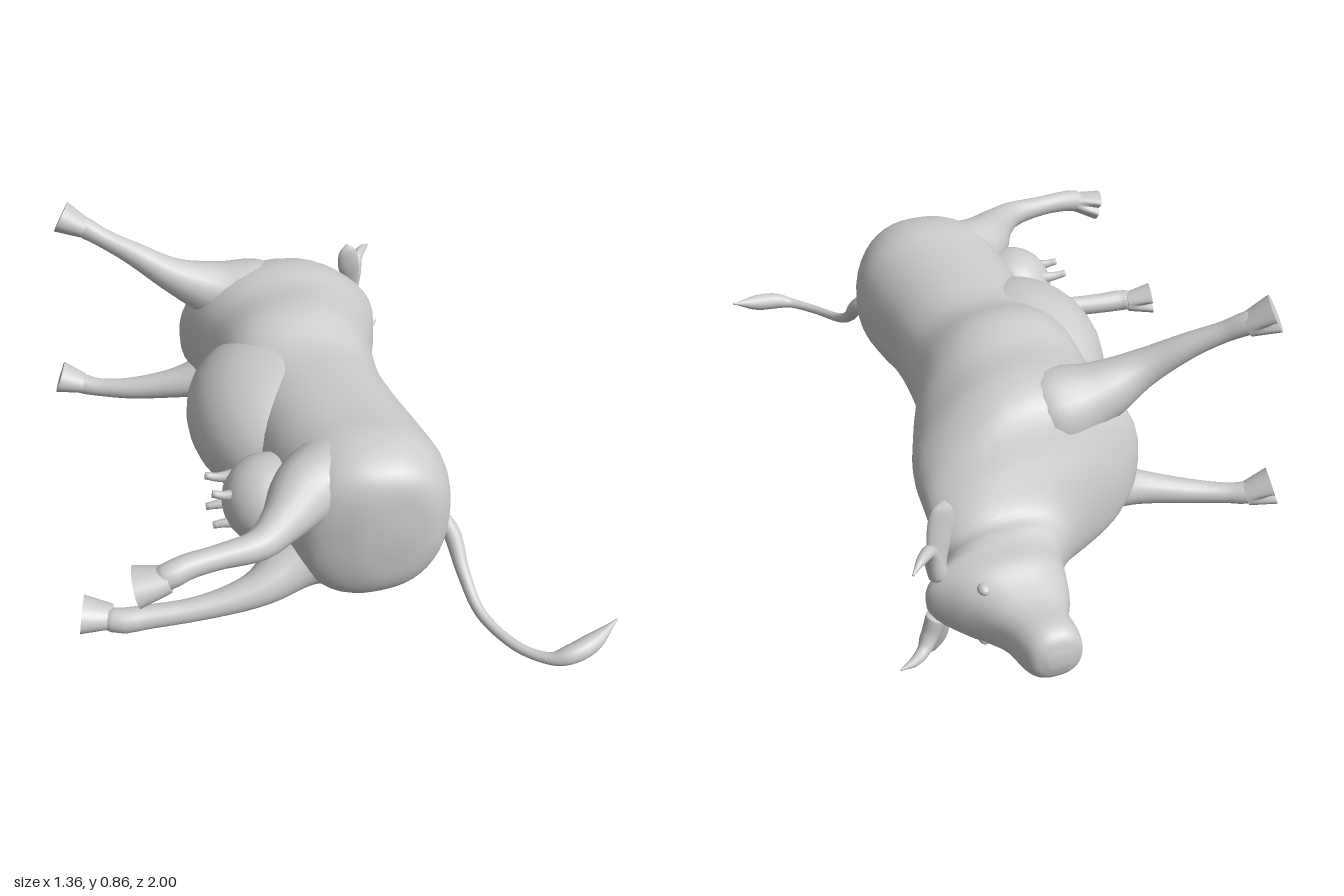
import * as THREE from 'three';

const V = (a) => new THREE.Vector3(...a);
const grey = new THREE.MeshStandardMaterial({ color: 0xcccccc });

// Smooth closed skin over a list of rings (arrays of Vector3 of equal length)
function loft(rings) {
  const n = rings[0].length, pos = [], idx = [];
  rings.forEach((r) => r.forEach((p) => pos.push(p.x, p.y, p.z)));
  for (let i = 0; i < rings.length - 1; i++) {
    for (let j = 0; j < n; j++) {
      const a = i * n + j, b = i * n + ((j + 1) % n);
      idx.push(a, b, b + n, a, b + n, a + n);
    }
  }
  const g = new THREE.BufferGeometry();
  g.setAttribute('position', new THREE.Float32BufferAttribute(pos, 3));
  g.setIndex(idx);
  g.computeVertexNormals();
  return g;
}

// Tube of varying radius; points are [x, y, z, radius]; flat squashes it along an axis
function limb(points, flatAxis = null, flat = 1, steps = 32, sides = 18) {
  const path = new THREE.CatmullRomCurve3(points.map((p) => V(p.slice(0, 3))), false, 'catmullrom');
  const radius = new THREE.SplineCurve(points.map((p, i) => new THREE.Vector2(i, p[3])));
  const f = path.computeFrenetFrames(steps, false);
  const rings = [];
  for (let i = 0; i <= steps; i++) {
    const u = i / steps, c = path.getPointAt(u);
    const r = Math.max(0.0005, radius.getPoint(path.getUtoTmapping(u)).y);
    const ring = [];
    for (let j = 0; j < sides; j++) {
      const a = (j / sides) * Math.PI * 2;
      const o = f.normals[i].clone().multiplyScalar(r * Math.cos(a))
        .addScaledVector(f.binormals[i], r * Math.sin(a));
      if (flatAxis) o.addScaledVector(flatAxis, o.dot(flatAxis) * (flat - 1));
      ring.push(o.add(c));
    }
    rings.push(ring);
  }
  const centre = (k) => rings[k].map(() => path.getPointAt(k ? 1 : 0));
  return loft([centre(0), ...rings, centre(steps)]);
}

// Trunk, neck and head in one skin; sections are [z, xLow, xHigh, yLow, yHigh, taper toward the spine]
function bodyGeometry() {
  const s = [
    [0.665, 0.12, 0.2, 0.38, 0.46, 0], [0.65, 0.03, 0.27, 0.26, 0.58, 0], [0.6, -0.07, 0.325, 0.19, 0.635, 0.05],
    [0.5, -0.11, 0.355, 0.18, 0.66, 0.1], [0.38, -0.12, 0.35, 0.195, 0.65, 0.1], [0.22, -0.12, 0.33, 0.22, 0.64, 0.1],
    [0.05, -0.13, 0.325, 0.21, 0.635, 0.12], [-0.1, -0.14, 0.345, 0.195, 0.675, 0.2], [-0.25, -0.14, 0.4, 0.2, 0.66, 0.32],
    [-0.38, -0.16, 0.44, 0.18, 0.66, 0.38], [-0.48, -0.17, 0.445, 0.17, 0.615, 0.38], [-0.55, -0.1, 0.435, 0.16, 0.495, 0.25],
    [-0.61, 0.05, 0.435, 0.145, 0.4, 0.12], [-0.66, 0.11, 0.475, 0.135, 0.385, 0.12], [-0.7, 0.135, 0.51, 0.135, 0.38, 0.12],
    [-0.76, 0.15, 0.465, 0.135, 0.375, 0.05], [-0.82, 0.165, 0.41, 0.15, 0.345, 0], [-0.88, 0.19, 0.37, 0.165, 0.325, 0],
    [-0.95, 0.19, 0.345, 0.16, 0.32, 0], [-0.985, 0.2, 0.325, 0.18, 0.3, 0], [-1.0, 0.24, 0.29, 0.22, 0.26, 0],
  ];
  const curve = (a, b) => new THREE.CatmullRomCurve3(s.map((p) => V([p[a], p[b], p[0]])), false, 'catmullrom');
  const cx = curve(1, 2), cy = curve(3, 4), ct = curve(5, 5);
  const steps = 100, sides = 40, rings = [];
  const pw = (v) => Math.sign(v) * Math.abs(v) ** 0.84;
  for (let i = 0; i <= steps; i++) {
    const X = cx.getPoint(i / steps), Y = cy.getPoint(i / steps), taper = ct.getPoint(i / steps).x, ring = [];
    for (let j = 0; j < sides; j++) {
      const a = (j / sides) * Math.PI * 2;
      const narrow = 1 - taper * Math.max(0, Math.cos(a)) ** 1.5;
      ring.push(V([(X.x + X.y) / 2 + pw(Math.cos(a)) * (X.y - X.x) / 2,
        (Y.x + Y.y) / 2 - pw(Math.sin(a)) * narrow * (Y.y - Y.x) / 2, X.z]));
    }
    rings.push(ring);
  }
  const cap = (r) => {
    const c = r.reduce((m, p) => m.add(p), V([0, 0, 0])).divideScalar(sides);
    return r.map(() => c.clone());
  };
  return loft([cap(rings[0]), ...rings, cap(rings[steps])]);
}

// Flared hoof from ankle to sole, with a cleft at the toe
function hoofGeometry(ankle, sole, toeDir) {
  const up = V(ankle).sub(V(sole)), h = up.length();
  up.normalize();
  const toe = V(toeDir).addScaledVector(up, -V(toeDir).dot(up)).normalize();
  const g = new THREE.CylinderGeometry(0.03, 0.047, h, 48, 6);
  g.scale(1, 1, 1.25);
  g.translate(0, h / 2, 0);
  const p = g.attributes.position;
  for (let i = 0; i < p.count; i++) {
    const z = p.getZ(i);
    if (z > 0) p.setZ(i, z * (1 - 0.4 * (1 - p.getY(i) / h) * Math.exp(-((p.getX(i) / 0.01) ** 2))));
  }
  g.computeVertexNormals();
  return g.applyMatrix4(new THREE.Matrix4().makeBasis(up.clone().cross(toe), up, toe).setPosition(V(sole)));
}

export function createModel() {
  const root = new THREE.Group();
  const add = (name, geo, parent = root) => {
    const m = new THREE.Mesh(geo, grey);
    m.name = name;
    parent.add(m);
    return m;
  };
  const ball = (name, c, r) => {
    const m = add(name, new THREE.SphereGeometry(1, 28, 20));
    m.position.set(...c);
    m.scale.set(...r);
  };

  add('body', bodyGeometry());
  ball('belly', [-0.03, 0.42, 0.05], [0.23, 0.21, 0.3]);

  // Legs
  const legs = {
    frontLegUpper: {
      path: [[0.16, 0.5, -0.38, 0.05], [0.06, 0.535, -0.4, 0.12], [-0.07, 0.58, -0.42, 0.088], [-0.19, 0.64, -0.435, 0.054],
        [-0.3, 0.71, -0.475, 0.036], [-0.38, 0.755, -0.51, 0.029], [-0.43, 0.785, -0.535, 0.032], [-0.46, 0.8, -0.55, 0.03]],
      ankle: [-0.435, 0.785, -0.54], sole: [-0.5, 0.82, -0.565], toe: [0, 0, -1],
    },
    frontLegLower: {
      path: [[0.16, 0.34, -0.38, 0.05], [0.06, 0.305, -0.4, 0.12], [-0.07, 0.265, -0.42, 0.08], [-0.19, 0.238, -0.435, 0.05],
        [-0.33, 0.215, -0.475, 0.035], [-0.43, 0.21, -0.515, 0.029], [-0.48, 0.215, -0.54, 0.032], [-0.51, 0.225, -0.55, 0.03]],
      ankle: [-0.48, 0.215, -0.545], sole: [-0.55, 0.24, -0.565], toe: [0, 0, -1],
    },
    hindLegUpper: {
      path: [[0.2, 0.48, 0.42, 0.05], [0.08, 0.51, 0.47, 0.138], [-0.05, 0.53, 0.53, 0.1], [-0.15, 0.533, 0.635, 0.06],
        [-0.23, 0.53, 0.7, 0.042], [-0.34, 0.532, 0.72, 0.032], [-0.42, 0.53, 0.73, 0.033], [-0.47, 0.52, 0.74, 0.035], [-0.5, 0.51, 0.735, 0.03]],
      ankle: [-0.47, 0.515, 0.745], sole: [-0.55, 0.495, 0.73], toe: [-0.4, 0, -0.92],
    },
    hindLegLower: {
      path: [[0.2, 0.36, 0.42, 0.05], [0.08, 0.315, 0.47, 0.135], [-0.06, 0.28, 0.5, 0.095], [-0.17, 0.247, 0.55, 0.058],
        [-0.26, 0.23, 0.565, 0.042], [-0.38, 0.217, 0.565, 0.033], [-0.5, 0.213, 0.555, 0.033], [-0.57, 0.213, 0.55, 0.035], [-0.61, 0.217, 0.53, 0.03]],
      ankle: [-0.59, 0.215, 0.53], sole: [-0.667, 0.225, 0.51], toe: [0, 0, -1],
    },
  };
  for (const [name, L] of Object.entries(legs)) {
    const leg = new THREE.Group();
    leg.name = name;
    root.add(leg);
    add('shank', limb(L.path), leg);
    add('hoof', hoofGeometry(L.ankle, L.sole, L.toe), leg);
  }

  // Udder with four teats
  ball('udder', [-0.13, 0.43, 0.42], [0.125, 0.125, 0.13]);
  for (const y of [0.385, 0.48]) {
    for (const z of [0.36, 0.44]) {
      add('teat', limb([[-0.2, y, z, 0.02], [-0.25, y, z - 0.005, 0.013], [-0.285, y + (y - 0.43) * 0.15, z - 0.012, 0.01]], null, 1, 8, 10));
    }
  }

  // Tail with a pointed tuft
  add('tail', limb([[0.29, 0.42, 0.55, 0.02], [0.335, 0.35, 0.6, 0.024], [0.345, 0.27, 0.68, 0.018], [0.36, 0.21, 0.78, 0.015],
    [0.41, 0.187, 0.89, 0.014], [0.475, 0.187, 0.96, 0.016], [0.53, 0.2, 0.975, 0.026], [0.6, 0.215, 0.962, 0.025], [0.68, 0.245, 0.93, 0.003]], null, 1, 56));

  // Ears, horns and eyes
  const zAxis = V([0, 0, 1]);
  add('earUpper', limb([[0.465, 0.33, -0.68, 0.02], [0.465, 0.38, -0.67, 0.028], [0.45, 0.45, -0.655, 0.036], [0.443, 0.5, -0.65, 0.028], [0.44, 0.527, -0.65, 0.004]], zAxis, 0.4));
  add('earLower', limb([[0.465, 0.2, -0.68, 0.02], [0.465, 0.15, -0.66, 0.03], [0.475, 0.08, -0.64, 0.038], [0.49, 0.03, -0.63, 0.028], [0.505, 0.003, -0.625, 0.004]], zAxis, 0.4));
  add('hornUpper', limb([[0.47, 0.33, -0.69, 0.028], [0.485, 0.39, -0.695, 0.024], [0.5, 0.43, -0.715, 0.018], [0.53, 0.44, -0.75, 0.013], [0.562, 0.432, -0.785, 0.003]]));
  add('hornLower', limb([[0.48, 0.19, -0.69, 0.028], [0.5, 0.14, -0.695, 0.024], [0.525, 0.107, -0.715, 0.018], [0.56, 0.105, -0.745, 0.013], [0.603, 0.12, -0.775, 0.003]]));
  ball('eyeUpper', [0.385, 0.337, -0.79], [0.016, 0.014, 0.02]);
  ball('eyeLower', [0.385, 0.172, -0.79], [0.016, 0.014, 0.02]);
  return root;
}
